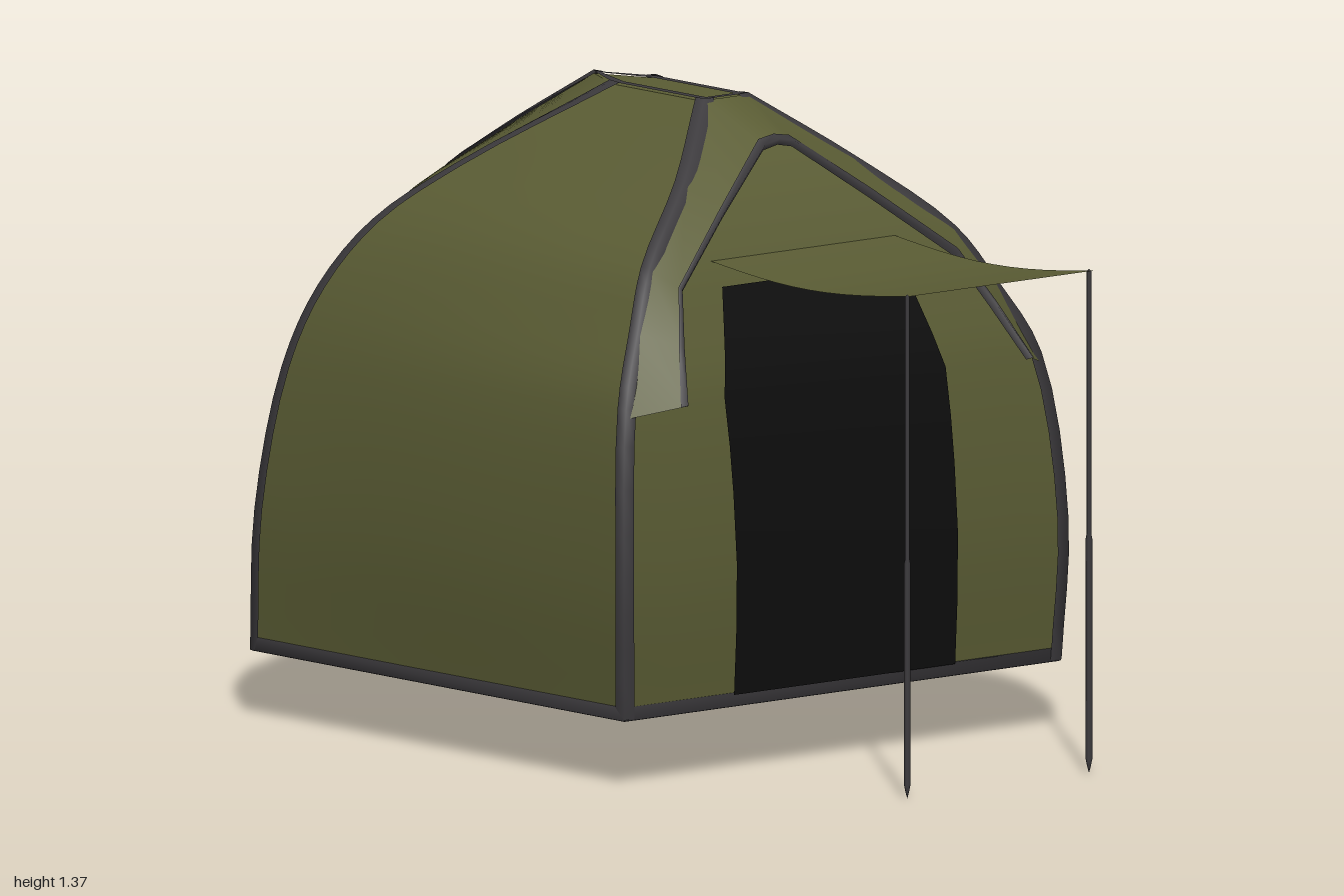
import * as THREE from 'three';

const V = (x, y, z) => new THREE.Vector3(x, y, z);
const mat = (color) => new THREE.MeshStandardMaterial({ color, side: THREE.DoubleSide, roughness: 0.9 });
const canvas = mat(0x5a5c34), trim = mat(0x3b393c), black = mat(0x0d0d0d), ground = mat(0x1d1d1e);

const mirror = (pts) => pts.map((p) => V(p.x, p.y, -p.z));
const CENTRE = V(-0.2, 0.5, 0);
const lift = (p, d) => p.clone().add(p.clone().sub(CENTRE).setLength(d));

// Surface through rows of points, all rows of equal length
function loft(name, rows, material) {
  const n = rows[0].length, pos = [], idx = [];
  rows.forEach((r) => r.forEach((p) => pos.push(p.x, p.y, p.z)));
  for (let i = 0; i < rows.length - 1; i++) {
    for (let j = 0; j < n - 1; j++) {
      const a = i * n + j, b = a + n;
      idx.push(a, b, a + 1, b, b + 1, a + 1);
    }
  }
  const g = new THREE.BufferGeometry();
  g.setAttribute('position', new THREE.Float32BufferAttribute(pos, 3));
  g.setIndex(idx);
  g.computeVertexNormals();
  const m = new THREE.Mesh(g, material);
  m.name = name;
  return m;
}

// Wall stretched between two poles, with a slight outward bulge
function panel(name, a, b, bulge, steps = 10) {
  const rows = [];
  for (let j = 0; j <= steps; j++) {
    const u = j / steps;
    rows.push(a.map((p, i) => {
      const v = i / (a.length - 1);
      const q = p.clone().lerp(b[i], u);
      return lift(q, bulge * Math.sin(Math.PI * u) * Math.sin(Math.PI * v));
    }));
  }
  return loft(name, rows, canvas);
}

// Flat seam that wraps over a pole towards both neighbouring walls
function seam(name, pole, a, b, w = 0.028) {
  const side = (q) => pole.map((p, i) => {
    const d = q[i].clone().sub(p);
    return lift(p.clone().add(d.setLength(Math.min(w, d.length() * 0.4))), 0.006);
  });
  return loft(name, [side(a), pole.map((p) => lift(p, 0.008)), side(b)], trim);
}

// Flat polygon, fanned from its first corner
function polygon(name, pts, material) {
  return loft(name, [pts.map(() => pts[0]), pts], material);
}

export function createModel() {
  const tent = new THREE.Group();
  tent.name = 'tent';

  // Pole curves from the ground to the roof
  const curve = (...p) => new THREE.CatmullRomCurve3(p.map((q) => V(...q)), false, 'centripetal').getPoints(24);
  const frontL = curve([0.5, 0.15, 0.6], [0.51, 0.45, 0.61], [0.47, 0.8, 0.57], [0.42, 0.95, 0.495],
    [0.37, 1.07, 0.42], [0.27, 1.22, 0.24], [0.125, 1.36, 0.06]);
  const backL = curve([-0.7, 0.15, 0.6], [-0.685, 0.45, 0.6], [-0.65, 0.75, 0.555], [-0.6, 0.92, 0.5],
    [-0.52, 1.06, 0.42], [-0.4, 1.18, 0.295], [-0.17, 1.36, 0.06]);
  const rear = curve([-1, 0.15, 0], [-0.985, 0.5, 0], [-0.96, 0.76, 0], [-0.9, 0.94, 0],
    [-0.81, 1.07, 0], [-0.62, 1.19, 0], [-0.3, 1.36, 0]);
  const frontR = mirror(frontL), backR = mirror(backL);

  // Walls
  tent.add(
    panel('leftWall', backL, frontL, 0.018),
    panel('rightWall', frontR, backR, 0.018),
    panel('rearLeftWall', rear, backL, 0.01),
    panel('rearRightWall', backR, rear, 0.01),
    panel('frontWall', frontL, frontR, 0),
  );

  // Seams over the poles
  tent.add(
    seam('frontLeftSeam', frontL, backL, frontR),
    seam('frontRightSeam', frontR, frontL, backR),
    seam('backLeftSeam', backL, rear, frontL, 0.022),
    seam('backRightSeam', backR, frontR, rear, 0.022),
    seam('rearSeam', rear, backR, backL, 0.022),
  );

  // Roof cap with its border
  const roof = [V(0.125, 1.36, 0.06), V(0.125, 1.36, -0.06), V(-0.17, 1.36, -0.06),
    V(-0.3, 1.36, 0), V(-0.17, 1.36, 0.06), V(0.125, 1.36, 0.06)];
  tent.add(polygon('roofCap', roof, canvas));
  const ringOut = roof.map((p) => V(p.x, 1.365, p.z));
  const ringIn = roof.map((p) => V(-0.05 + (p.x + 0.05) * 0.9, 1.365, p.z * 0.65));
  tent.add(loft('roofBorder', [ringOut, ringIn], trim));

  // Hood over the doorway: inner line on the poles, outer line free
  const innerL = [V(0.47, 0.78, 0.572), V(0.42, 0.95, 0.495), V(0.37, 1.07, 0.42), V(0.27, 1.22, 0.24), V(0.125, 1.36, 0.06)];
  const outerL = [V(0.56, 0.81, 0.475), V(0.495, 0.92, 0.43), V(0.43, 1.03, 0.38), V(0.36, 1.165, 0.205), V(0.3, 1.285, 0.04)];
  const inner = [...innerL, ...mirror(innerL).reverse()].map((p) => lift(p, 0.003));
  const outer = [...outerL, V(0.3, 1.293, 0), ...mirror(outerL).reverse()];
  inner.splice(5, 0, V(0.125, 1.362, 0));
  const edge = outer.map((p, i) => lift(p.clone().lerp(inner[i], 0.12), 0.004));
  tent.add(loft('hood', [inner, outer], canvas));
  tent.add(loft('hoodEdge', [edge, outer.map((p) => lift(p, 0.004)), outer.map((p) => lift(p, -0.012))], trim));

  // Dark doorway following the lean of the front wall
  const wallX = (y) => {
    const i = Math.max(1, frontL.findIndex((p) => p.y >= y));
    const a = frontL[i - 1], b = frontL[i];
    return a.x + (b.x - a.x) * (y - a.y) / (b.y - a.y);
  };
  const doorRows = [0.17, 0.3, 0.45, 0.6, 0.7, 0.8, 0.87, 0.95, 1.02].map((y) => {
    const w = y <= 0.8 ? 0.306 : 0.306 - (y - 0.8) * 0.27;
    const x = wallX(y) + 0.01;
    return [V(x, y, w), V(x, y, -w)];
  });
  tent.add(loft('doorway', doorRows, black));

  // Ground sheet and the band around its rim
  const base = [V(0.5, 0, 0.6), V(0.5, 0, -0.6), V(-0.7, 0, -0.6), V(-1, 0, 0), V(-0.7, 0, 0.6), V(0.5, 0, 0.6)];
  const ring = (y, s) => base.map((p) => V(p.x * s, y, p.z * s));
  tent.add(polygon('groundSheet', ring(0.145, 1), ground));
  tent.add(loft('baseBand', [ring(0.143, 1), ring(0.145, 1.008), ring(0.172, 1.008), ring(0.174, 0.995)], trim));

  // Sagging awning
  const awning = [];
  for (let i = 0; i <= 12; i++) {
    const t = i / 12, x = 0.36 + 0.63 * t;
    const y = 1.072 - 0.025 * Math.sin(Math.PI * t);
    awning.push([V(x, y, 0.25 - 0.02 * t), V(x, y, -0.26 - 0.02 * t)]);
  }
  tent.add(loft('awning', awning, canvas));

  // Awning legs, pointed at the ground
  for (const z of [0.228, -0.275]) {
    const profile = [[0, 0], [0.004, 0.015], [0.007, 0.03], [0.007, 0.5], [0.005, 0.51], [0.005, 1.07], [0, 1.075]];
    const leg = new THREE.Mesh(
      new THREE.LatheGeometry(profile.map(([r, y]) => new THREE.Vector2(r, y)), 8), trim);
    leg.position.set(0.98, 0, z);
    leg.name = z > 0 ? 'awningLegLeft' : 'awningLegRight';
    tent.add(leg);
  }
  return tent;
}
